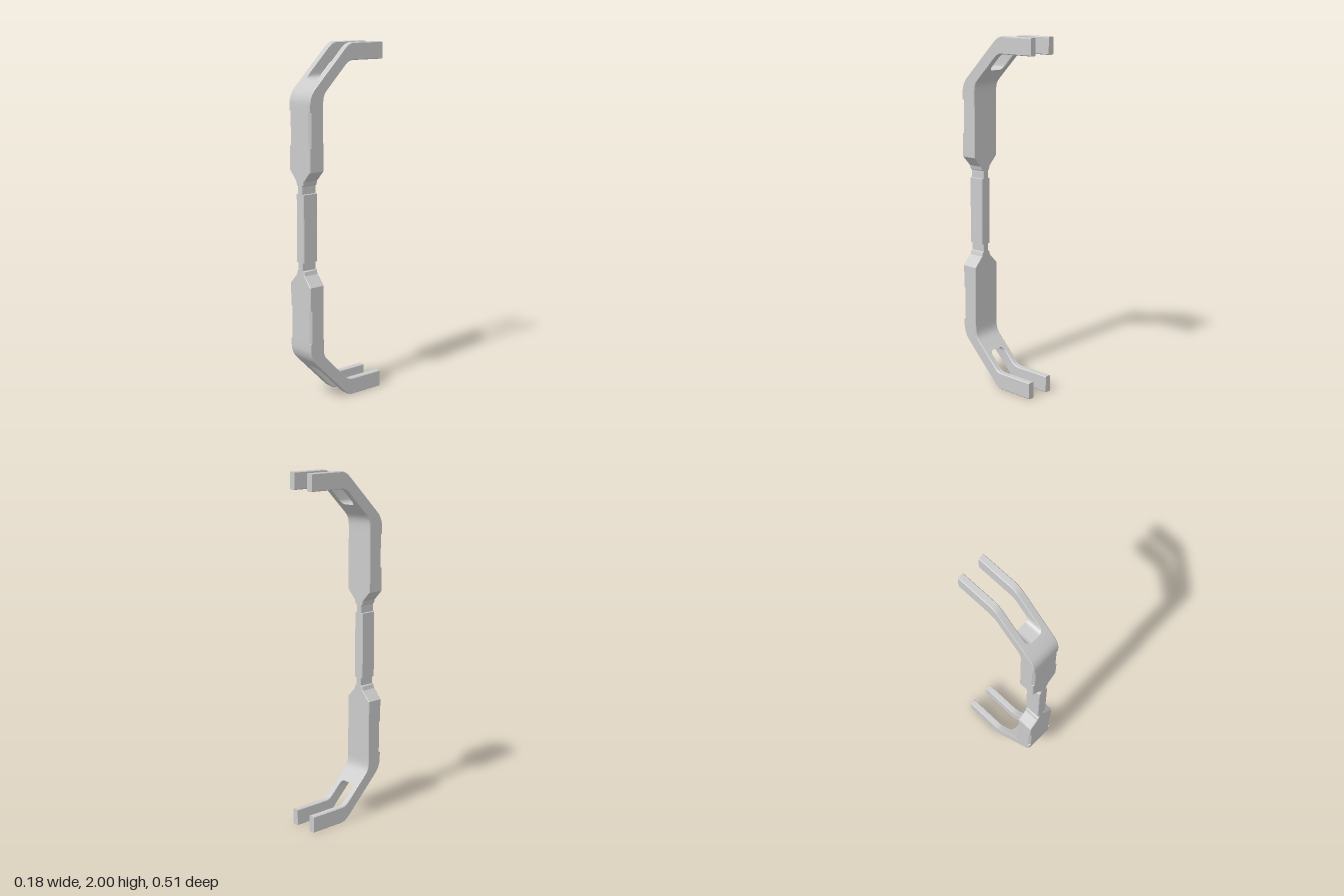
import * as THREE from 'three';
import { toCreasedNormals } from 'three/addons/utils/BufferGeometryUtils.js';

const W = 0.089;      // half width of the bracket
const SLOT = 0.052;   // half width of the fork slot
const FLOOR = 1.807;  // height where the fork begins
const BEVEL = 0.004;

// A section is a bevelled rectangle spanning x0..x1 and the points out..inn, each [z, y].
function ring({ out, inn, x0, x1, cut = BEVEL }) {
  const len = Math.hypot(out[0] - inn[0], out[1] - inn[1]);
  const at = (x, d) => [
    x,
    out[1] + (inn[1] - out[1]) * d / len,
    out[0] + (inn[0] - out[0]) * d / len,
  ];
  const b = BEVEL;
  return [
    at(x0 + cut, 0), at(x1 - cut, 0), at(x1, cut), at(x1, len - b),
    at(x1 - b, len), at(x0 + b, len), at(x0, len - b), at(x0, cut),
  ];
}

// Closed skin over a run of sections, capped at both ends
function loft(name, sections, material) {
  const rings = sections.map(ring);
  const n = rings[0].length;
  const index = [];
  for (let s = 0; s < rings.length - 1; s++) {
    for (let i = 0; i < n; i++) {
      const j = (i + 1) % n;
      const a = s * n + i, b = s * n + j, c = b + n, d = a + n;
      index.push(a, b, c, a, c, d);
    }
  }
  const last = (rings.length - 1) * n;
  for (let i = 1; i < n - 1; i++) {
    index.push(0, i + 1, i);
    index.push(last, last + i, last + i + 1);
  }
  const geometry = new THREE.BufferGeometry();
  geometry.setAttribute('position', new THREE.Float32BufferAttribute(rings.flat(2), 3));
  geometry.setIndex(index);
  const mesh = new THREE.Mesh(toCreasedNormals(geometry, 0.5), material);
  mesh.name = name;
  return mesh;
}

// Mirror sections about y = 1; reversing the order keeps the faces outward
const flipY = (sections) => sections.map((s) => ({
  ...s, out: [s.out[0], 2 - s.out[1]], inn: [s.inn[0], 2 - s.inn[1]],
})).reverse();
const flipX = (sections) => sections.map((s) => ({ ...s, x0: -s.x1, x1: -s.x0 }));

// Level section on the sloping shoulder
const slope = (y, x0, x1) => ({ out: [1.983 - y, y], inn: [1.887 - y, y], x0, x1 });

function bodySections() {
  const level = (y, w, zo = 0.256, zi = 0.161, cut) =>
    ({ out: [zo, y], inn: [zi, y], x0: -w, x1: w, cut });
  const upper = [
    // grip, neck groove and flare
    ...[[1.19, 0.032], [1.191, 0.02], [1.235, 0.02], [1.24, 0.029], [1.262, 0.035], [1.318, W]]
      .map(([y, w]) => level(y, w)),
    // shallow relief on the front corners
    level(1.45, W), level(1.451, W, 0.256, 0.161, 0.013),
    level(1.639, W, 0.256, 0.161, 0.013), level(1.64, W),
    // bend into the shoulder
    level(1.68, W), level(1.7, W, 0.254, 0.16), level(1.72, W, 0.248, 0.156),
    level(1.737, W, 0.24, 0.148), level(1.755, W, 0.228, 0.132),
    slope(FLOOR, -W, W),
  ];
  return [...flipY(upper), ...upper];
}

function prongSections() {
  const sections = [];
  // rounded corner of the slot
  const r = 0.026;
  for (let i = 0; i <= 6; i++) {
    const a = (i / 6) * Math.PI / 2;
    sections.push(slope(FLOOR + r * (1 - Math.cos(a)), SLOT - r + r * Math.sin(a), W));
  }
  // shoulder, bend and straight tip
  const path = [
    [0.06, 1.923, 0.02, 1.867], [0.016, 1.967, 0, 1.887], [0, 1.981, -0.012, 1.896],
    [-0.018, 1.993, -0.028, 1.903], [-0.04, 2, -0.045, 1.905],
    [-0.257, 2, -0.257, 1.905],
  ];
  for (const [zo, yo, zi, yi] of path) {
    sections.push({ out: [zo, yo], inn: [zi, yi], x0: SLOT, x1: W });
  }
  return sections;
}

export function createModel() {
  const group = new THREE.Group();
  group.name = 'forkedBracket';
  const material = new THREE.MeshStandardMaterial({ color: 0xcccccc });

  group.add(loft('body', bodySections(), material));

  // Four fork prongs, two at each end
  const left = prongSections();
  const right = flipX(left);
  group.add(
    loft('upperLeftProng', left, material),
    loft('upperRightProng', right, material),
    loft('lowerLeftProng', flipY(left), material),
    loft('lowerRightProng', flipY(right), material),
  );
  return group;
}
